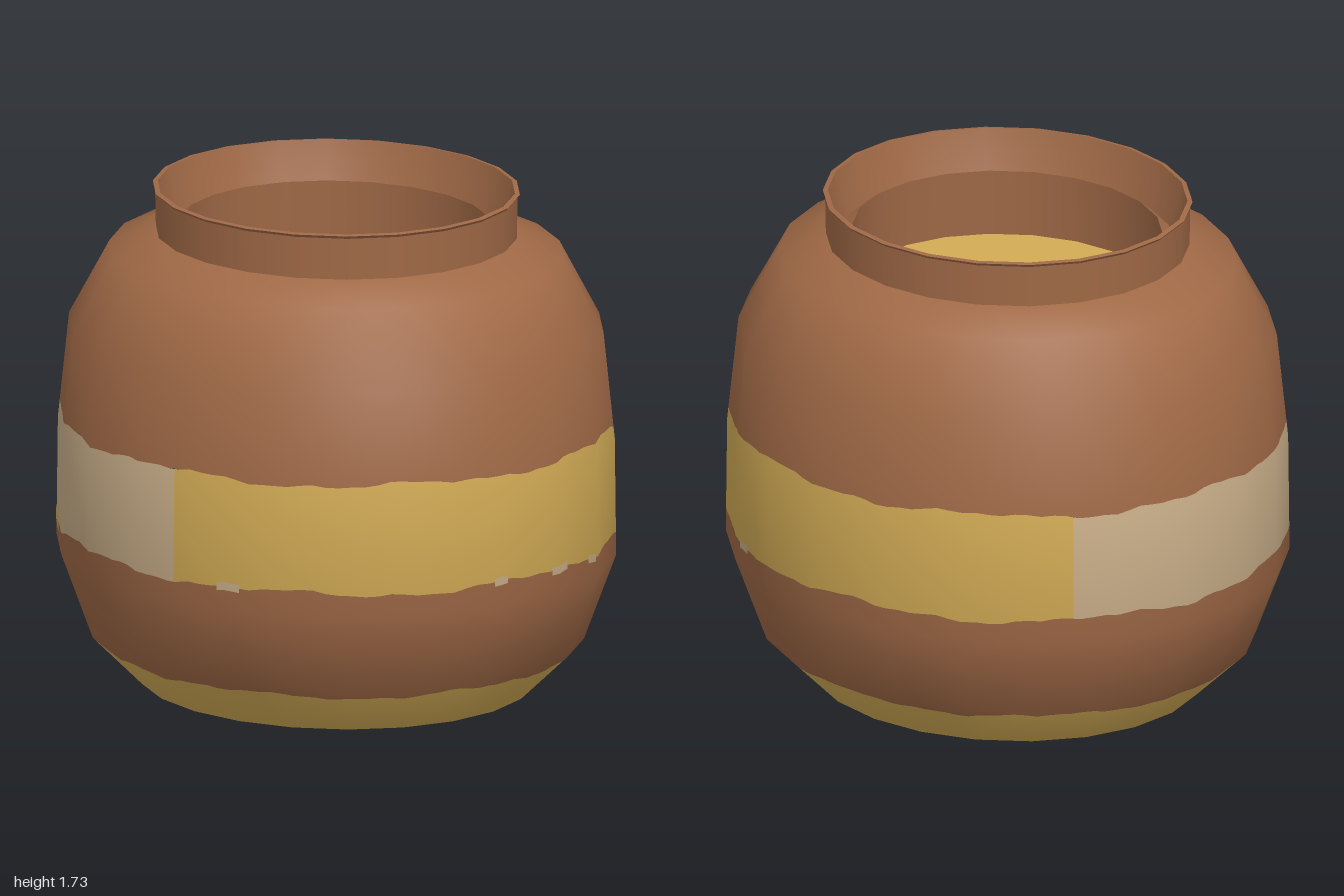
import * as THREE from 'three';

const SIDES = 22, SEG = (Math.PI * 2) / SIDES, SQUASH = 0.935, SUB = 6;
const rad = THREE.MathUtils.degToRad;

// Body outline as [radius, height]
const PROFILE = [[0.705, 0], [0.885, 0.17], [1, 0.47], [0.995, 0.88], [0.955, 1.25], [0.81, 1.51], [0.645, 1.57]];

// Smoothed outline normals, one per profile point
const edgeNormals = PROFILE.slice(1).map(([r, y], i) =>
  new THREE.Vector2(y - PROFILE[i][1], PROFILE[i][0] - r).normalize());
const normals = PROFILE.map((_, i) =>
  (edgeNormals[i] || edgeNormals[i - 1]).clone().add(edgeNormals[i - 1] || edgeNormals[i]).normalize());

function outline(y) {
  let i = 0;
  while (i < PROFILE.length - 2 && y > PROFILE[i + 1][1]) i++;
  const t = (y - PROFILE[i][1]) / (PROFILE[i + 1][1] - PROFILE[i][1]);
  return {
    r: THREE.MathUtils.lerp(PROFILE[i][0], PROFILE[i + 1][0], t),
    n: normals[i].clone().lerp(normals[i + 1], t),
  };
}

// Piece of the faceted body wall between two (wavy) heights and two angles
function wallGeometry(low, high, from = 0, to = Math.PI * 2, lift = 0) {
  const pos = [], nor = [], idx = [];
  const mids = PROFILE.map(p => p[1]).filter(y => y > high(from) - 1e9 && y > low(from) + 0.001 && y < high(from) - 0.001);
  const rows = mids.length + 2;
  const angles = [from];
  const step = SEG / SUB;
  for (let k = Math.floor(from / step + 1e-6) + 1; k * step < to - 1e-6; k++) angles.push(k * step);
  angles.push(to);
  for (const a of angles) {
    // Point on the straight side of the polygon
    const k = Math.floor(a / SEG + 1e-6);
    const flat = Math.cos(SEG / 2) / Math.cos(a - (k + 0.5) * SEG);
    for (const y of [low(a), ...mids, high(a)]) {
      const { r, n } = outline(y);
      const R = r * flat + lift;
      pos.push(R * Math.sin(a), y, R * Math.cos(a));
      nor.push(n.x * Math.sin(a), n.y, n.x * Math.cos(a));
    }
  }
  for (let c = 0; c < angles.length - 1; c++) {
    for (let j = 0; j < rows - 1; j++) {
      const p = c * rows + j, q = p + rows;
      idx.push(p, q, p + 1, q, q + 1, p + 1);
    }
  }
  const g = new THREE.BufferGeometry();
  g.setAttribute('position', new THREE.Float32BufferAttribute(pos, 3));
  g.setAttribute('normal', new THREE.Float32BufferAttribute(nor, 3));
  g.setIndex(idx);
  return g;
}

const lathe = pts => new THREE.LatheGeometry(pts.map(p => new THREE.Vector2(...p)), SIDES);
const disc = (r, y, up) => new THREE.CircleGeometry(r, SIDES, Math.PI / 2)
  .rotateX(up ? -Math.PI / 2 : Math.PI / 2).translate(0, y, 0);

export function createModel() {
  const group = new THREE.Group();
  const mat = (name, color) => {
    const m = new THREE.MeshStandardMaterial({ color });
    m.name = name;
    return m;
  };
  const clay = mat('clay', 0xa06946);
  const ochre = mat('ochre', 0xd2ab55);
  const cream = mat('cream', 0xcbb08a);

  const add = (name, geometry, material) => {
    geometry.scale(SQUASH, 1, 1);
    const mesh = new THREE.Mesh(geometry, material);
    mesh.name = name;
    group.add(mesh);
  };

  // Hand-painted edges of the stripes
  const wavy = (y, amp, shift) => a =>
    y + amp * (0.5 * Math.sin(7 * a + shift) + 0.3 * Math.sin(17 * a + 2 * shift) + 0.2 * Math.sin(41 * a));
  const level = y => () => y;
  const footTop = wavy(0.152, 0.014, 2);
  const bandLow = wavy(0.55, 0.016, 1);
  const bandTop = wavy(0.93, 0.016, 4);
  const creamFrom = rad(154), creamTo = rad(288);

  // Body wall, from the foot up
  add('footStripe', wallGeometry(level(0), footTop), ochre);
  add('lowerBody', wallGeometry(footTop, bandLow), clay);
  add('bandFront', wallGeometry(bandLow, bandTop, creamTo - Math.PI * 2, creamFrom), ochre);
  add('bandBack', wallGeometry(bandLow, bandTop, creamFrom, creamTo), cream);
  add('upperBody', wallGeometry(bandTop, level(1.57)), clay);
  add('base', disc(0.705, 0, false), clay);

  // Small paint flecks along the lower edge of the band: [angle, half width, material]
  for (const [a, w, m] of [[0, 1.6, cream], [17, 2.6, cream], [30, 1.5, cream], [301, 2.5, cream], [70, 2, cream], [234, 5, ochre]]) {
    const h = m === ochre ? 0.025 : 0.014;
    add('paintFleck', wallGeometry(b => bandLow(b) - h, b => bandLow(b) + h, rad(a - w), rad(a + w), 0.003), m);
  }

  // Neck, rim and the hollow inside
  add('neck', lathe([[0.645, 1.57], [0.648, 1.715]]), clay);
  add('rimUnderside', lathe([[0.648, 1.715], [0.656, 1.725]]), clay);
  add('rimTop', lathe([[0.656, 1.725], [0.638, 1.728]]), clay);
  add('neckInside', lathe([[0.638, 1.728], [0.62, 1.66], [0.59, 1.575]]), clay);
  add('innerLedge', lathe([[0.59, 1.575], [0.55, 1.605]]), clay);
  add('innerWall', lathe([[0.55, 1.605], [0.56, 1.36]]), clay);
  add('contents', disc(0.56, 1.37, true), ochre);

  return group;
}
